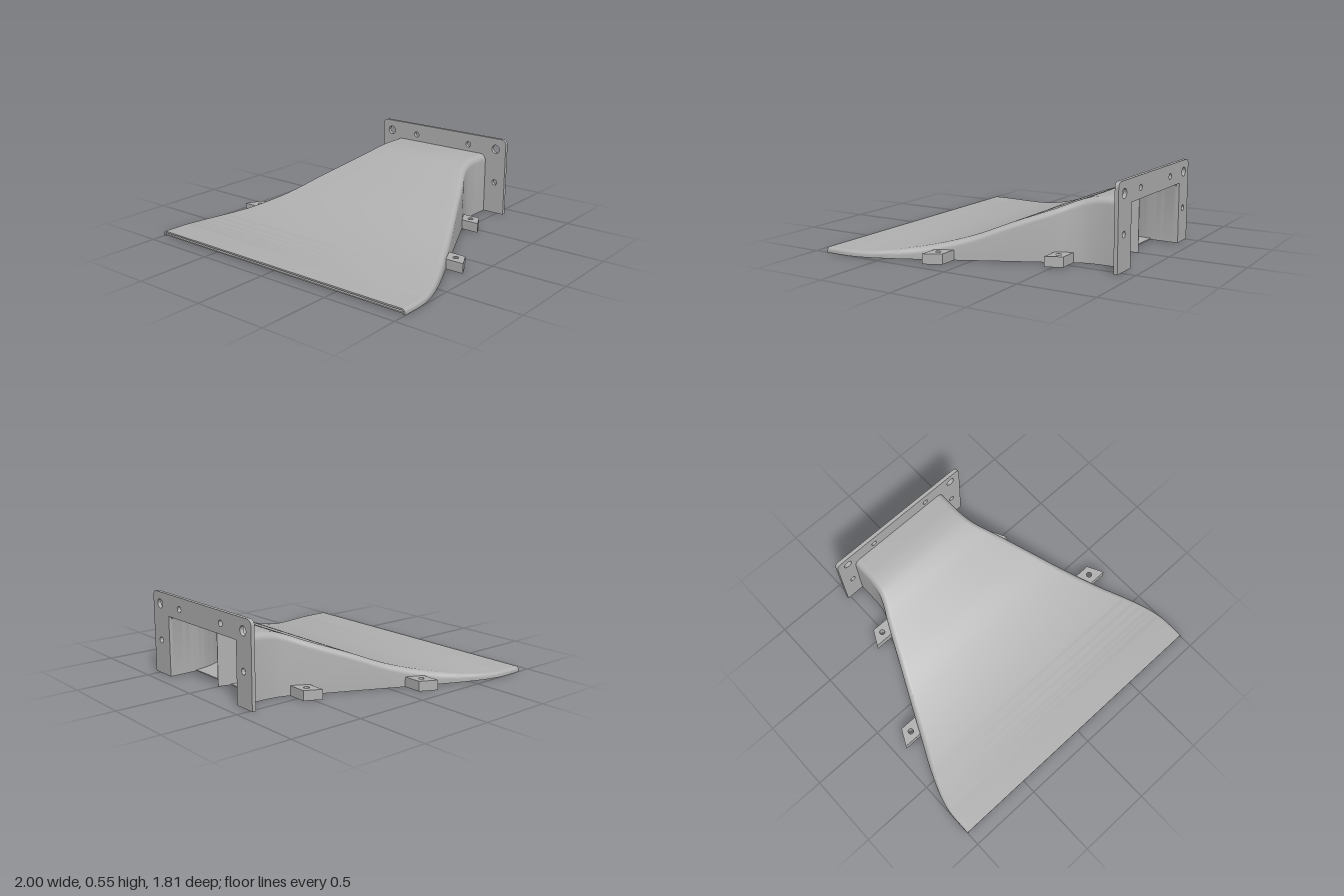
import * as THREE from 'three';
import { toCreasedNormals } from 'three/addons/utils/BufferGeometryUtils.js';

// Skins closed cross-sections that run along z; each loop is an outer half followed by the inner half reversed.
function loft(sections) {
  const n = sections[0].length, last = sections.length - 1, index = [];
  const quad = (a, b, c, d) => index.push(a, b, c, a, c, d);
  for (let s = 0; s < last; s++) {
    for (let i = 0; i < n; i++) {
      const j = (i + 1) % n;
      quad(s * n + i, (s + 1) * n + i, (s + 1) * n + j, s * n + j);
    }
  }
  for (let k = 0; k < n / 2 - 1; k++) {
    const f = last * n;
    quad(k, k + 1, n - 2 - k, n - 1 - k);
    quad(f + n - 1 - k, f + n - 2 - k, f + k + 1, f + k);
  }
  const geo = new THREE.BufferGeometry();
  geo.setAttribute('position', new THREE.Float32BufferAttribute(sections.flat(2), 3));
  geo.setIndex(index);
  return toCreasedNormals(geo, 0.6);
}

// Half width, height and z along the duct.
const profile = new THREE.CatmullRomCurve3([
  [0.39, 0.418, -0.885], [0.39, 0.418, -0.8], [0.391, 0.416, -0.72], [0.403, 0.402, -0.63],
  [0.432, 0.375, -0.55], [0.485, 0.333, -0.45], [0.604, 0.238, -0.2], [0.7, 0.157, 0],
  [0.795, 0.099, 0.2], [0.89, 0.06, 0.4], [0.94, 0.046, 0.52], [0.975, 0.038, 0.62],
  [0.995, 0.035, 0.71], [1, 0.035, 0.78], [1, 0.035, 0.905],
].map((p) => new THREE.Vector3(...p))).getSpacedPoints(110);

function at(z) {
  let i = 1;
  while (i < profile.length - 1 && profile[i].z < z) i++;
  const a = profile[i - 1], b = profile[i];
  const t = THREE.MathUtils.clamp((z - a.z) / (b.z - a.z), 0, 1);
  return a.clone().lerp(b, t);
}

const range = (a, b, n) => Array.from({ length: n + 1 }, (_, i) => a + ((b - a) * i) / n);

// Inverted U with rounded shoulders.
function arch(w, h, r, z) {
  const right = [[w, 0, z]];
  for (let i = 0; i <= 6; i++) {
    const a = (i / 6) * Math.PI / 2;
    right.push([w - r + r * Math.cos(a), h - r + r * Math.sin(a), z]);
  }
  const left = right.map(([x, y, zz]) => [-x, y, zz]);
  return [...left, ...right.reverse()];
}

const box = (w, y0, y1, z) => [[-w, y0, z], [-w, y1, z], [w, y1, z], [w, y0, z]];

function hole(shape, x, y, r) {
  shape.holes.push(new THREE.Path().absarc(x, y, r, 0, Math.PI * 2, true));
}

export function createModel() {
  const model = new THREE.Group();
  const grey = new THREE.MeshStandardMaterial({ color: 0xb0b0b0 });
  grey.name = 'plain grey';
  const add = (name, geo) => {
    const mesh = new THREE.Mesh(geo, grey);
    mesh.name = name;
    model.add(mesh);
    return mesh;
  };

  // Hollow flared hood
  add('ductShell', loft(profile.map(({ x: w, y: h, z }) => {
    const r = Math.min(0.045, h * 0.6), t = Math.min(0.02, 0.008 + h * 0.06);
    return [...arch(w, h, r, z), ...arch(w - t, h - t, r * 0.6, z).reverse()];
  })));

  // Thin floor, bent slightly upward ahead of the crease
  const floorZ = [...range(-0.71, 0.38, 40), ...range(0.39, 0.903, 24)];
  add('floor', loft(floorZ.map((z) => {
    const lift = Math.max(0, z - 0.38) * 0.012;
    return box(at(z).x - 0.006, lift, lift + 0.008, z);
  })));

  // Wedge that splits the flow
  add('flowDivider', loft(range(-0.79, -0.22, 24).map((z) =>
    box(0.002 + (z + 0.79) * 0.28, 0.001, at(z).y - 0.01, z))));

  // Mounting flange with a rectangular mouth open at the bottom
  const L = -0.52, R = 0.55, H = 0.545, c = 0.035;
  const plate = new THREE.Shape();
  plate.moveTo(L, 0).lineTo(-0.37, 0).lineTo(-0.37, 0.4).lineTo(0.37, 0.4).lineTo(0.37, 0).lineTo(R, 0);
  plate.lineTo(R, H - c).absarc(R - c, H - c, c, 0, Math.PI / 2, false);
  plate.lineTo(L + c, H).absarc(L + c, H - c, c, Math.PI / 2, Math.PI, false);
  for (const x of [-0.44, 0.47]) {
    hole(plate, x, 0.468, 0.03);
    hole(plate, x, 0.225, 0.02);
  }
  for (const x of [-0.213, 0.242]) hole(plate, x, 0.468, 0.02);
  const flange = new THREE.ExtrudeGeometry(plate, { depth: 0.025, bevelEnabled: false, curveSegments: 16 });
  add('mountingFlange', toCreasedNormals(flange, 0.6)).position.z = -0.905;

  // Drilled fixing tabs on both sides; shape y is -z before the tab is laid flat
  for (const [z0, z1, outer] of [[-0.555, -0.45, 0.555], [0.105, 0.215, 0.87]]) {
    for (const s of [1, -1]) {
      const tab = new THREE.Shape([
        [at(z0).x - 0.012, -z0], [outer, -z0], [outer + 0.055, -z1], [at(z1).x - 0.012, -z1],
      ].map(([x, y]) => new THREE.Vector2(s * x, y)));
      hole(tab, s * (outer - 0.035), -(z0 + z1) / 2, 0.018);
      const geo = new THREE.ExtrudeGeometry(tab, { depth: 0.065, bevelEnabled: false, curveSegments: 12 });
      geo.rotateX(-Math.PI / 2);
      add(s > 0 ? 'leftFixingTab' : 'rightFixingTab', toCreasedNormals(geo, 0.6));
    }
  }
  return model;
}
